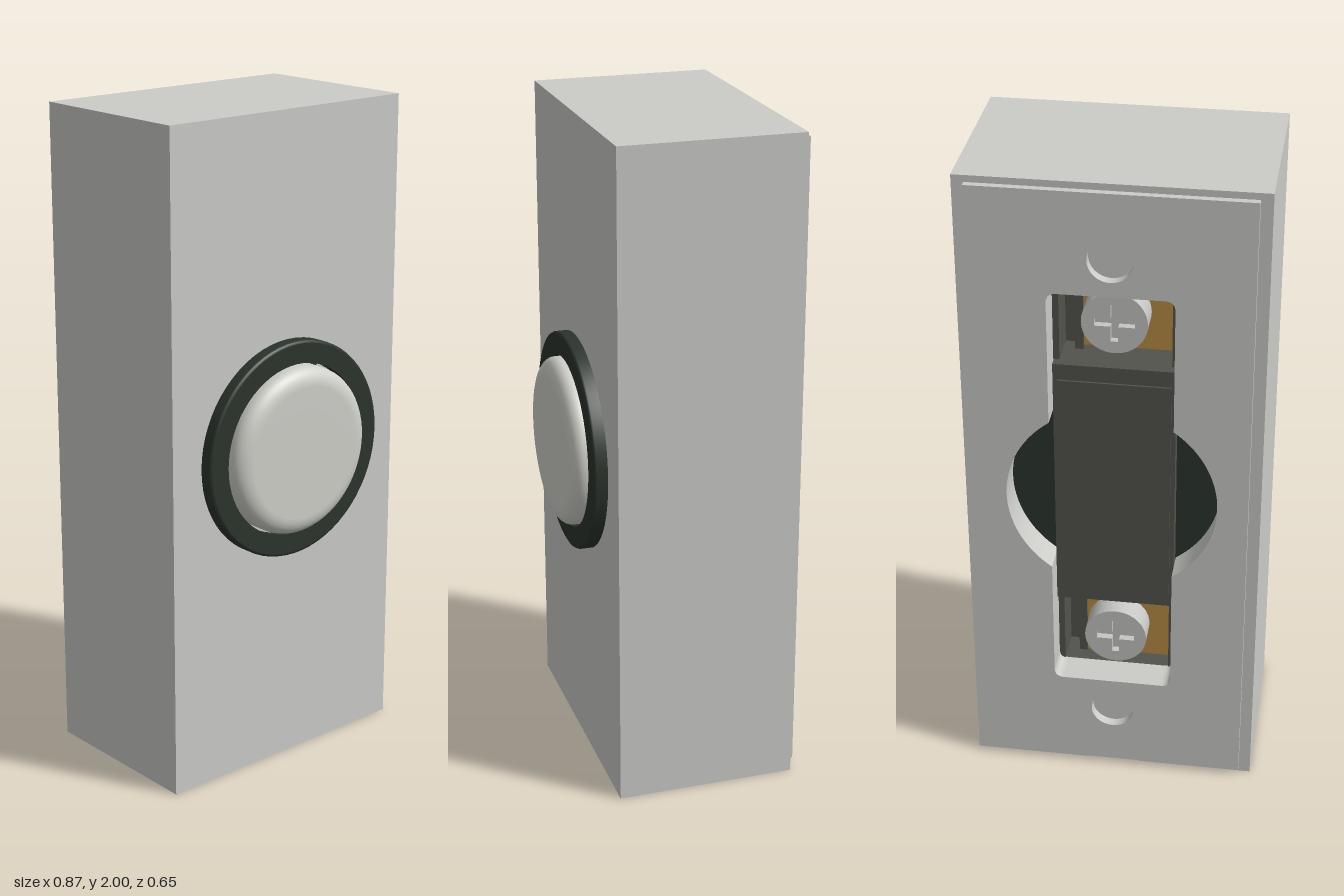
import * as THREE from 'three';

const mat = (name, color, side = THREE.FrontSide) => {
  const m = new THREE.MeshStandardMaterial({ color, side });
  m.name = name;
  return m;
};

export function createModel() {
  const root = new THREE.Group();
  root.name = 'doorbellButton';
  const shell = mat('light grey plastic', 0xcbcbc8);
  const white = mat('warm white button', 0xd0d0ca);
  const ringMat = mat('dark green black', 0x2b342c);
  const dark = mat('dark grey carrier', 0x53534d);
  const brass = mat('brass', 0xb98d45);
  const steel = mat('screw steel', 0xc6c6c4);

  const add = (name, geo, material, x = 0, y = 0, z = 0, parent = root) => {
    const mesh = new THREE.Mesh(geo, material);
    mesh.name = name;
    mesh.position.set(x, y, z);
    parent.add(mesh);
    return mesh;
  };
  // Box given by its limits
  const box = (name, m, x0, x1, y0, y1, z0, z1, parent) =>
    add(name, new THREE.BoxGeometry(x1 - x0, y1 - y0, z1 - z0), m,
      (x0 + x1) / 2, (y0 + y1) / 2, (z0 + z1) / 2, parent);
  const extrude = (shape, depth) =>
    new THREE.ExtrudeGeometry(shape, { depth, bevelEnabled: false, curveSegments: 32 });
  const poly = (pts) => new THREE.Shape(pts.map(([x, y]) => new THREE.Vector2(x, y)));
  const circlePath = (x, y, r) => new THREE.Path().absarc(x, y, r, 0, Math.PI * 2, true);
  // Turned part with its axis along z
  const turned = (pts) => new THREE.LatheGeometry(
    pts.map(([r, z]) => new THREE.Vector2(r, z)), 64).rotateX(Math.PI / 2);

  // Housing: front panel and walls, open at the back
  const housing = new THREE.Group();
  housing.name = 'housing';
  root.add(housing);
  box('frontPanel', shell, -0.435, 0.435, 0, 2, 0.2, 0.24, housing);
  for (const s of [-1, 1])
    box('sideWall', shell, s * 0.4175 - 0.0175, s * 0.4175 + 0.0175, 0, 2, -0.305, 0.2, housing);
  box('topWall', shell, -0.4, 0.4, 1.98, 2, -0.305, 0.2, housing);
  // Bottom wall with the release notch at the rear
  const bottom = poly([[-0.4, -0.2], [0.4, -0.2], [0.4, 0.305], [0.08, 0.305],
    [0.08, 0.2], [-0.08, 0.2], [-0.08, 0.305], [-0.4, 0.305]]);
  add('bottomWall', extrude(bottom, 0.02).rotateX(-Math.PI / 2), shell, 0, 0, 0, housing);

  // Base plate: slot with a round middle and two mounting holes
  const outline = poly([[-0.4, 0.02], [0.4, 0.02], [0.4, 1.98], [-0.4, 1.98]]);
  const w = 0.18, lo = 0.33, hi = 1.67, r = 0.31, c = 0.03;
  const a = Math.acos(w / r), dy = r * Math.sin(a);
  const slot = new THREE.Path();
  slot.moveTo(-w + c, lo);
  slot.lineTo(w - c, lo);
  slot.quadraticCurveTo(w, lo, w, lo + c);
  slot.lineTo(w, 1 - dy);
  slot.absarc(0, 1, r, -a, a, false);
  slot.lineTo(w, hi - c);
  slot.quadraticCurveTo(w, hi, w - c, hi);
  slot.lineTo(-w + c, hi);
  slot.quadraticCurveTo(-w, hi, -w, hi - c);
  slot.lineTo(-w, 1 + dy);
  slot.absarc(0, 1, r, Math.PI - a, Math.PI + a, false);
  slot.lineTo(-w, lo + c);
  slot.quadraticCurveTo(-w, lo, -w + c, lo);
  outline.holes.push(slot);
  for (const y of [0.22, 1.78]) {
    outline.holes.push(circlePath(0, y, 0.065));
    add('mountingHoleFloor', new THREE.CylinderGeometry(0.07, 0.07, 0.05, 32).rotateX(Math.PI / 2),
      shell, 0, y, -0.27);
  }
  add('basePlate', extrude(outline, 0.1), shell, 0, 0, -0.325);

  // Switch body: round core, bar and terminal pockets
  add('switchCore', new THREE.CylinderGeometry(0.33, 0.33, 0.4, 64).rotateX(Math.PI / 2),
    ringMat, 0, 1, -0.02);
  const carrier = new THREE.Group();
  carrier.name = 'switchCarrier';
  root.add(carrier);
  box('switchBar', dark, -0.178, 0.178, 0.59, 1.41, -0.26, -0.1, carrier);
  box('raisedPanel', dark, -0.165, 0.165, 0.64, 1.36, -0.266, -0.26, carrier);
  box('pocketFloor', dark, -0.2, 0.2, 0.3, 1.7, -0.12, -0.08, carrier);

  // Screw head outline with a cross recess
  const head = new THREE.Shape().absarc(0, 0, 0.095, 0, Math.PI * 2, false);
  const p = 0.011, q = 0.058;
  head.holes.push(new THREE.Path([[p, p], [p, q], [-p, q], [-p, p], [-q, p], [-q, -p],
    [-p, -p], [-p, -q], [p, -q], [p, -p], [q, -p], [q, p]]
    .map(([x, y]) => new THREE.Vector2(x, y))));

  for (const s of [-1, 1]) {
    const terminal = new THREE.Group();
    terminal.name = s > 0 ? 'upperTerminal' : 'lowerTerminal';
    terminal.position.y = 1 + s * 0.55;
    root.add(terminal);
    for (const side of [-1, 1])
      box('pocketSide', dark, side * 0.172 - 0.01, side * 0.172 + 0.01, -0.14, 0.12, -0.23, -0.12, terminal);
    box('pocketEnd', dark, -0.18, 0.18, s * 0.13 - 0.01, s * 0.13 + 0.01, -0.225, -0.12, terminal);
    box('pocketRib', dark, 0.1, 0.125, -0.13, 0.12, -0.18, -0.12, terminal);
    box('contactPlate', brass, -0.16, 0.1, -0.12, 0.12, -0.17, -0.15, terminal);
    add('screwBase', new THREE.CylinderGeometry(0.095, 0.095, 0.06, 40).rotateX(Math.PI / 2),
      steel, 0, 0, -0.2, terminal);
    add('screwHead', extrude(head, 0.022), steel, 0, 0, -0.252, terminal);
  }

  // Front ring and domed-edge push button
  add('bezelRing', turned([[0.25, 0.24], [0.33, 0.24], [0.33, 0.24], [0.33, 0.273], [0.328, 0.278],
    [0.322, 0.28], [0.322, 0.28], [0.262, 0.28], [0.262, 0.28], [0.262, 0.25]]), ringMat, 0, 1, 0)
    .material.side = THREE.DoubleSide;
  const rim = [[0.255, 0.24], [0.255, 0.28]];
  for (let i = 0; i <= 8; i++) {
    const t = (i / 8) * Math.PI / 2;
    rim.push([0.2 + 0.055 * Math.cos(t), 0.285 + 0.04 * Math.sin(t)]);
  }
  rim.push([0.1, 0.325], [0, 0.325]);
  const button = add('pushButton', turned(rim), white, 0, 1, 0);
  button.material.side = THREE.DoubleSide;
  return root;
}
